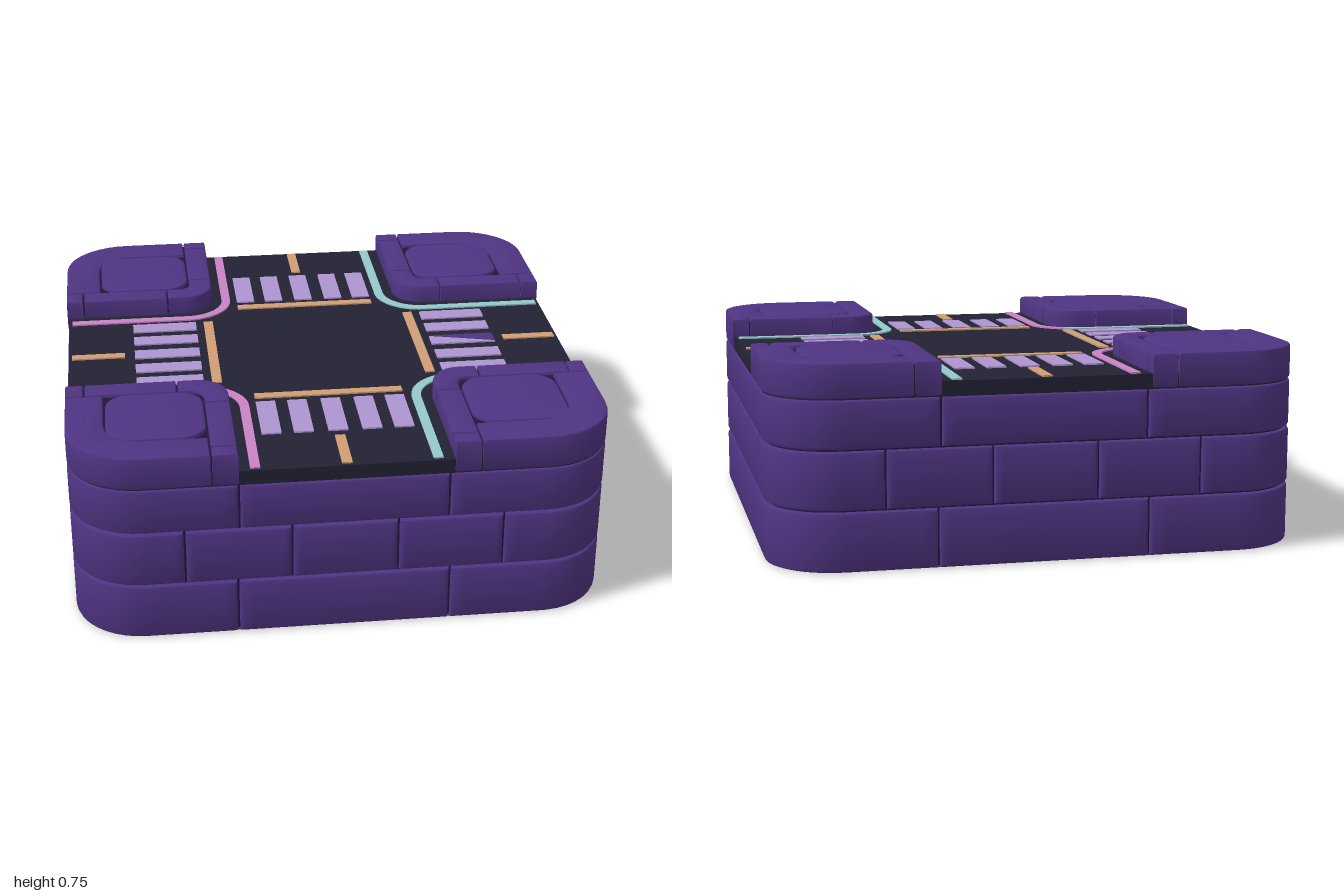
import * as THREE from 'three';
import { toCreasedNormals } from 'three/addons/utils/BufferGeometryUtils.js';

const mat = (name, color) => {
  const m = new THREE.MeshStandardMaterial({ color });
  m.name = name;
  return m;
};

const R = 0.26;                       // plan corner radius
const C = 1 - R;                      // half length of a straight side
const SIDE = 2 * C + (R * Math.PI) / 2;

// Point on the rounded-square outline at arc length s, pushed out by off
function outline(s, off) {
  const k = Math.round(s / SIDE), u = s - k * SIDE;
  let x = u, z = 1 + off;
  if (Math.abs(u) > C) {
    const t = (Math.abs(u) - C) / R;
    x = Math.sign(u) * (C + (R + off) * Math.sin(t));
    z = C + (R + off) * Math.cos(t);
  }
  for (let i = 0; i < ((k % 4) + 4) % 4; i++) [x, z] = [z, -x];
  return [x, z];
}

// Bevelled brick following the outline from s0 to s1
function brickGeometry(s0, s1, y0, y1) {
  const b = 0.013, deep = -0.05, n = 24;
  const profile = [[deep, y0], [-b, y0], [-b * 0.3, y0 + b * 0.3], [0, y0 + b],
    [0, y1 - b], [-b * 0.3, y1 - b * 0.3], [-b, y1], [deep, y1]];
  const rows = [[s0, deep], [s0, -b], [s0 + b * 0.3, -b * 0.3]];
  for (let i = 0; i <= n; i++) rows.push([s0 + b + ((s1 - s0 - 2 * b) * i) / n, 0]);
  rows.push([s1 - b * 0.3, -b * 0.3], [s1, -b], [s1, deep]);
  const pos = [], index = [], m = profile.length;
  rows.forEach(([s, cap], i) => profile.forEach(([off, y], j) => {
    const [x, z] = outline(s, Math.min(off, cap));
    pos.push(x, y, z);
    if (i && j) {
      const a = (i - 1) * m + j - 1, c = i * m + j - 1;
      index.push(a, c, c + 1, a, c + 1, a + 1);
    }
  }));
  const g = new THREE.BufferGeometry();
  g.setAttribute('position', new THREE.Float32BufferAttribute(pos, 3));
  g.setIndex(index);
  return toCreasedNormals(g, 0.6);
}

// Plan shape from corners [x, z, radius]
function plan(points) {
  const shape = new THREE.Shape(), n = points.length;
  const toward = (p, q, d) => {
    const a = new THREE.Vector2(p[0], p[1]), v = new THREE.Vector2(q[0], q[1]).sub(a);
    return a.add(v.setLength(d));
  };
  points.forEach((p, i) => {
    const r = p[2] || 0;
    const a = toward(p, points[(i + n - 1) % n], r), b = toward(p, points[(i + 1) % n], r);
    if (i) shape.lineTo(a.x, a.y); else shape.moveTo(a.x, a.y);
    if (r) {
      const k = 0.552;
      shape.bezierCurveTo(a.x + (p[0] - a.x) * k, a.y + (p[1] - a.y) * k,
        b.x + (p[0] - b.x) * k, b.y + (p[1] - b.y) * k, b.x, b.y);
    }
  });
  shape.closePath();
  return shape;
}
const rect = (x0, z0, x1, z1, r = 0) => plan([[x0, z0, r], [x1, z0, r], [x1, z1, r], [x0, z1, r]]);

// Plan shape raised between two heights, with an optional rounded edge
function slab(shape, y0, y1, bevel = 0) {
  const g = new THREE.ExtrudeGeometry(shape, {
    depth: y1 - y0 - 2 * bevel, bevelEnabled: bevel > 0, bevelThickness: bevel,
    bevelSize: bevel, bevelOffset: -bevel, bevelSegments: 2, curveSegments: 10,
  });
  g.rotateX(Math.PI / 2).translate(0, y1 - bevel, 0);
  return toCreasedNormals(g, 0.6);
}

export function createModel() {
  const purple = mat('purple stone', 0x4f3482);
  const grout = mat('dark grout', 0x21163a);
  const asphalt = mat('asphalt', 0x222234);
  const lilac = mat('lilac paint', 0xae95d0);
  const orange = mat('orange paint', 0xd09e74);
  const pink = mat('pink paint', 0xc983c6);
  const teal = mat('teal paint', 0x95c9ca);

  const model = new THREE.Group();
  model.name = 'crossroadsTile';
  const add = (parent, name, geometry, material) => {
    const mesh = new THREE.Mesh(geometry, material);
    mesh.name = name;
    parent.add(mesh);
    return mesh;
  };

  // Foundation core, underside and road surface
  add(model, 'groutCore', slab(rect(-0.98, -0.98, 0.98, 0.98, 0.24), 0.003, 0.62), grout);
  add(model, 'underside', slab(rect(-0.986, -0.986, 0.986, 0.986, 0.246), 0, 0.006), purple);
  add(model, 'road', slab(rect(-0.993, -0.993, 0.993, 0.993, 0.253), 0.619, 0.675), asphalt);

  // Three courses of bricks; the last brick of each side wraps the corner
  const courses = [
    { y: [0, 0.217], joints: [-0.4, 0.385] },
    { y: [0.223, 0.435], joints: [-0.59, -0.2, 0.19, 0.58] },
    { y: [0.441, 0.618], joints: [-0.39, 0.375] },
  ];
  courses.forEach(({ y, joints }, row) => {
    const course = new THREE.Group();
    course.name = `brickCourse${row + 1}`;
    model.add(course);
    for (let k = 0; k < 4; k++) {
      joints.forEach((u, i) => {
        const end = i + 1 < joints.length ? joints[i + 1] : joints[0] + SIDE;
        add(course, 'brick', brickGeometry(k * SIDE + u + 0.004, k * SIDE + end - 0.004, y[0], y[1]), purple);
      });
    }
  });

  // Raised pavement pieces for one corner (x and z positive)
  const pavement = [
    ['curbCorner', plan([[0.39, 0.577], [0.39, 0.39, 0.12], [0.577, 0.39], [0.577, 0.483],
      [0.483, 0.483, 0.05], [0.483, 0.577]])],
    ['curbStraight', rect(0.39, 0.583, 0.483, 0.927)],
    ['curbStraight', rect(0.583, 0.39, 0.927, 0.483)],
    ['curbEnd', rect(0.39, 0.933, 0.483, 1)],
    ['curbEnd', rect(0.933, 0.39, 1, 0.483)],
    ['pavementRim', plan([[0.489, 0.86], [0.489, 1], [1, 1, R], [1, 0.489], [0.86, 0.489], [0.86, 0.86, 0.14]])],
    ['pavementPanel', rect(0.489, 0.489, 0.853, 0.853, 0.09)],
  ].map(([name, shape]) => [name, slab(shape, 0.622, 0.75, 0.011)]);
  const bed = slab(plan([[0.41, 0.41, 0.1], [0.985, 0.41], [0.985, 0.985, 0.245], [0.41, 0.985]]), 0.63, 0.735);

  // Paint plates for one corner and one road arm
  const Y0 = 0.672, Y1 = 0.681;
  const bend = (a0, a1) => {
    const s = new THREE.Shape();
    s.absarc(0.5, 0.5, 0.188, a0, a1, false);
    s.absarc(0.5, 0.5, 0.152, a1, a0, true);
    s.closePath();
    return slab(s, Y0, Y1);
  };
  const laneZ = slab(rect(0.312, 0.5, 0.348, 0.98), Y0, Y1);
  const laneX = slab(rect(0.5, 0.312, 0.98, 0.348), Y0, Y1);
  const bendA = bend(Math.PI, Math.PI * 1.36), bendB = bend(Math.PI * 1.36, Math.PI * 1.5);
  const bendC = bend(Math.PI, Math.PI * 1.14), bendD = bend(Math.PI * 1.14, Math.PI * 1.5);
  const stopLine = slab(rect(-0.285, 0.4, 0.285, 0.438), Y0, Y1);
  const centreDash = slab(rect(-0.019, 0.77, 0.019, 0.98), Y0, Y1);
  const stripe = slab(rect(-0.037, 0.47, 0.037, 0.73), Y0, Y1);

  const laneZColors = [teal, teal, pink, teal], laneXColors = [teal, teal, pink, pink];
  for (let k = 0; k < 4; k++) {
    const corner = new THREE.Group();
    corner.name = 'pavementCorner';
    corner.rotation.y = (k * Math.PI) / 2;
    pavement.forEach(([name, g]) => add(corner, name, g, purple));
    add(corner, 'pavementBed', bed, grout);

    const arm = new THREE.Group();
    arm.name = 'roadMarkings';
    arm.rotation.y = corner.rotation.y;
    add(arm, 'laneLine', laneZ, laneZColors[k]);
    add(arm, 'laneLine', laneX, laneXColors[k]);
    add(arm, 'laneBend', k === 3 ? bendC : bendA, laneZColors[k]);
    add(arm, 'laneBend', k === 3 ? bendD : bendB, laneXColors[k]);
    add(arm, 'stopLine', stopLine, orange);
    add(arm, 'centreDash', centreDash, orange);
    [-0.248, -0.128, 0, 0.127, 0.247].forEach((x) => {
      add(arm, 'crossingStripe', stripe, lilac).position.x = x;
    });
    model.add(corner, arm);
  }

  // Worn purple wedge on the middle stripe of the right crossing
  add(model, 'stripeWedge', slab(plan([[0.47, -0.037], [0.73, -0.037], [0.73, 0.033]]), Y0, Y1 + 0.002), purple);
  return model;
}
